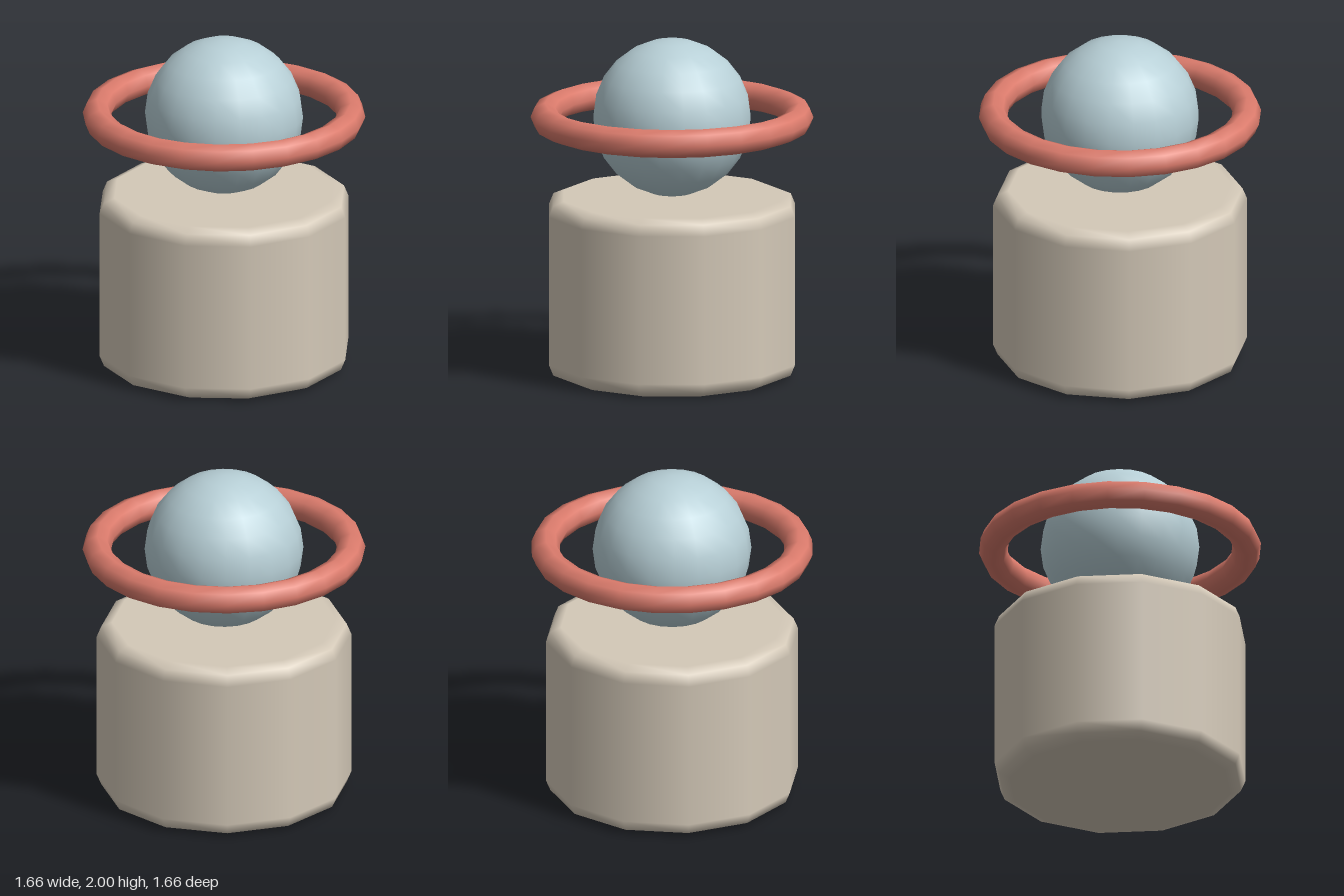
import * as THREE from 'three';

const material = (name, color) => {
  const m = new THREE.MeshStandardMaterial({ color });
  m.name = name;
  return m;
};

// Twelve-sided drum with rounded rims; flat caps blend smoothly into the bevels
function drumGeometry(radius, height, bevel, sides) {
  const points = [new THREE.Vector2(0, 0)];
  const tilts = [-Math.PI / 2];
  const addRim = (centreY, from) => {
    for (let i = 0; i <= 2; i++) {
      const a = from + (i * Math.PI) / 4;
      points.push(new THREE.Vector2(radius - bevel + bevel * Math.cos(a), centreY + bevel * Math.sin(a)));
      tilts.push(a);
    }
  };
  addRim(bevel, -Math.PI / 2);
  addRim(height - bevel, 0);
  points.push(new THREE.Vector2(0, height));
  tilts.push(Math.PI / 2);

  const geometry = new THREE.LatheGeometry(points, sides);
  const normal = geometry.attributes.normal;
  for (let i = 0; i <= sides; i++) {
    const phi = (i / sides) * Math.PI * 2;
    tilts.forEach((a, j) => {
      normal.setXYZ(i * tilts.length + j, Math.cos(a) * Math.sin(phi), Math.sin(a), Math.cos(a) * Math.cos(phi));
    });
  }
  return geometry;
}

export function createModel() {
  const group = new THREE.Group();
  group.name = 'ringedSphereOnPedestal';
  const add = (name, geometry, mat, y) => {
    const mesh = new THREE.Mesh(geometry, mat);
    mesh.name = name;
    mesh.position.y = y;
    group.add(mesh);
  };

  // Pedestal
  add('pedestal', drumGeometry(0.745, 1.065, 0.09, 12), material('warm stone', 0xd4c9b8), 0);

  // Floating sphere
  add('sphere', new THREE.SphereGeometry(0.465, 20, 12), material('pale blue', 0xb7cfd6), 1.535);

  // Level ring around the sphere
  const ring = new THREE.TorusGeometry(0.744, 0.084, 8, 24).rotateX(Math.PI / 2);
  add('ring', ring, material('coral', 0xdb7b6c), 1.535);

  return group;
}
